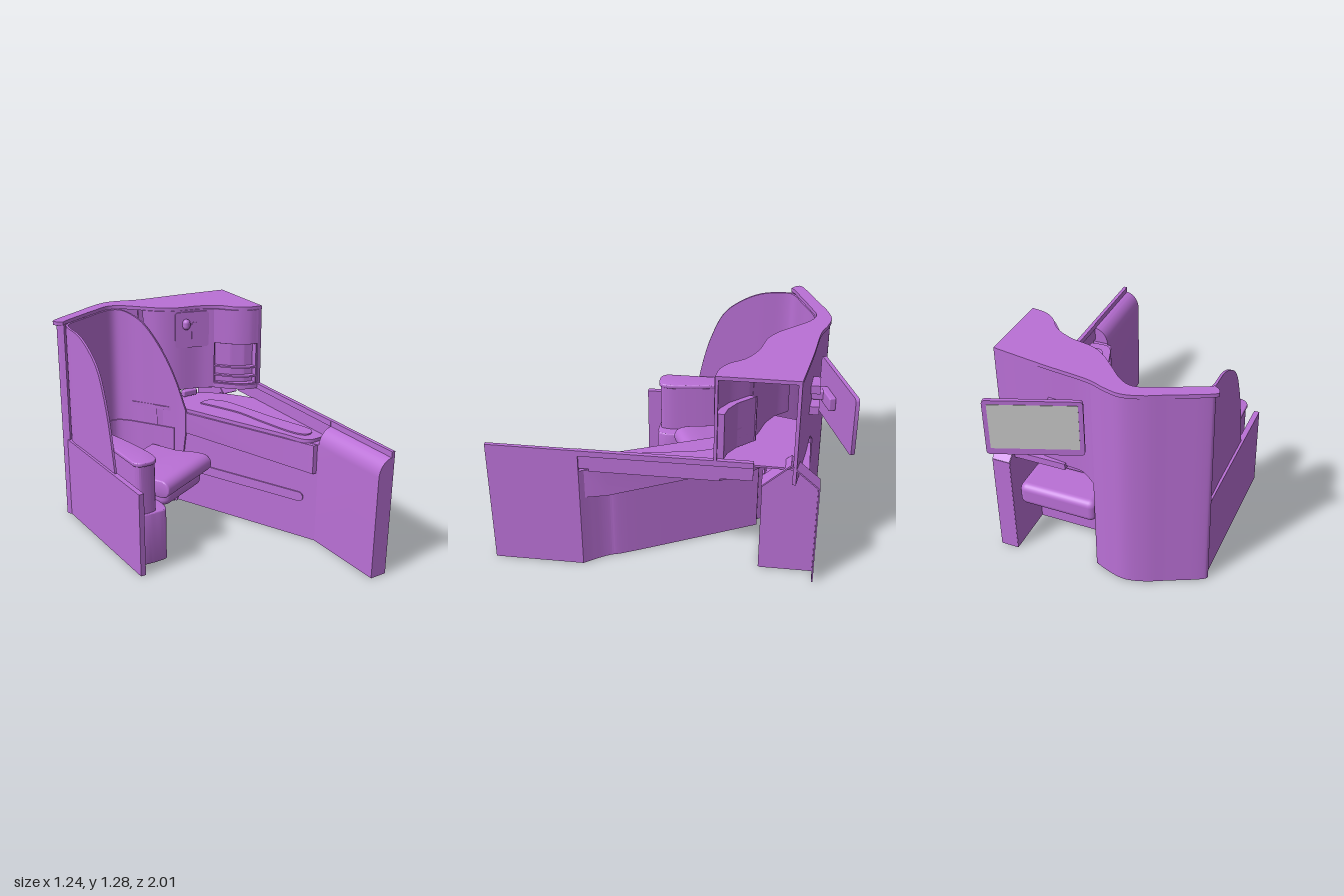
import * as THREE from 'three';
import { toCreasedNormals } from 'three/addons/utils/BufferGeometryUtils.js';
import { RoundedBoxGeometry } from 'three/addons/geometries/RoundedBoxGeometry.js';

const purple = new THREE.MeshStandardMaterial({ color: 0xba70d6, side: THREE.DoubleSide });
const grey = new THREE.MeshStandardMaterial({ color: 0xcccccc, side: THREE.DoubleSide });
const v2 = ([x, z]) => new THREE.Vector2(x, -z);

export function createModel() {
  const model = new THREE.Group();

  function add(name, geometry, parent = model, material = purple) {
    const mesh = new THREE.Mesh(geometry, material);
    mesh.name = name;
    parent.add(mesh);
    return mesh;
  }

  // Box given by its x, y and z ranges
  function box(name, [x0, x1], [y0, y1], [z0, z1], r = 0, parent = model) {
    const s = [x1 - x0, y1 - y0, z1 - z0];
    const g = r ? new RoundedBoxGeometry(...s, 3, r) : new THREE.BoxGeometry(...s);
    g.translate((x0 + x1) / 2, (y0 + y1) / 2, (z0 + z1) / 2);
    return add(name, g, parent);
  }

  // Thin upright plate with rounded corners, centred on its origin
  function plate(name, w, h, d, r, parent = model, material = purple) {
    const s = new THREE.Shape();
    [[1, 1, 0], [-1, 1, 1], [-1, -1, 2], [1, -1, 3]].forEach(([sx, sy, q]) =>
      s.absarc(sx * (w / 2 - r), sy * (h / 2 - r), r, (q * Math.PI) / 2, ((q + 1) * Math.PI) / 2));
    const g = new THREE.ExtrudeGeometry(s, { depth: d, bevelEnabled: false, curveSegments: 6 });
    return add(name, toCreasedNormals(g.translate(0, 0, -d / 2), 0.6), parent, material);
  }

  // Upright wall along plan points [x, z, bottom, top]; tension 0 keeps it straight between points
  function wall(name, pts, thick, tension = 0.5, steps = 8) {
    const curve = (k) => new THREE.CatmullRomCurve3(
      pts.map((p) => new THREE.Vector3(p[0], p[k], p[1])), false, 'catmullrom', tension);
    const low = curve(2), high = curve(3);
    const n = (pts.length - 1) * steps;
    const pos = [], idx = [];
    for (let i = 0; i <= n; i++) {
      const a = low.getPoint(i / n), b = high.getPoint(i / n);
      const t = low.getPoint(Math.min(1, (i + 0.5) / n)).sub(low.getPoint(Math.max(0, (i - 0.5) / n)));
      const l = Math.hypot(t.x, t.z) || 1;
      const ox = (-t.z / l) * thick, oz = (t.x / l) * thick;
      const y0 = Math.max(0.01, a.y);
      pos.push(a.x, y0, a.z, b.x, b.y, b.z, b.x + ox, b.y, b.z + oz, a.x + ox, y0, a.z + oz);
    }
    for (let i = 0; i < n; i++) {
      for (let j = 0; j < 4; j++) {
        const a = i * 4 + j, b = i * 4 + ((j + 1) % 4);
        idx.push(a, a + 4, b, b, a + 4, b + 4);
      }
    }
    const e = n * 4;
    idx.push(0, 1, 2, 0, 2, 3, e, e + 2, e + 1, e, e + 3, e + 2);
    const g = new THREE.BufferGeometry();
    g.setAttribute('position', new THREE.Float32BufferAttribute(pos, 3));
    g.setIndex(idx);
    return add(name, toCreasedNormals(g, 0.6), model);
  }

  // Upright prism over a plan shape; each list of [x, z] points is one smooth run
  function slab(name, runs, y0, y1, smooth = true, bevel = 0) {
    const shape = new THREE.Shape();
    runs.forEach((run, i) => {
      const p = run.map(v2);
      if (i) shape.lineTo(p[0].x, p[0].y);
      else shape.moveTo(p[0].x, p[0].y);
      if (smooth && p.length > 2) shape.splineThru(p.slice(1));
      else p.slice(1).forEach((q) => shape.lineTo(q.x, q.y));
    });
    const g = new THREE.ExtrudeGeometry(shape, {
      depth: y1 - y0 - 2 * bevel, curveSegments: 32, bevelEnabled: bevel > 0,
      bevelSize: bevel, bevelThickness: bevel, bevelOffset: -bevel, bevelSegments: 3,
    });
    g.rotateX(-Math.PI / 2).translate(0, y0 + bevel, 0);
    return add(name, toCreasedNormals(g, 0.6), model);
  }

  // Outer shell: full height behind the seat, raised above the rear footwell
  wall('shellBack', [[-0.575, -0.61], [-0.6, -0.655], [-0.56, -0.69], [-0.4, -0.765], [-0.28, -0.82],
    [-0.17, -0.845], [-0.07, -0.825], [0.02, -0.79]].map((p) => [...p, 0.01, 1.27]), 0.02);
  wall('shellRearUpper', [[0.02, -0.79, 0.6, 1.27], [0.1, -0.775, 0.66, 1.27],
    [0.3, -0.755, 0.66, 1.27], [0.615, -0.71, 0.66, 1.27]], 0.02, 0.3);
  slab('shellCap', [
    [[-0.58, -0.61], [-0.615, -0.64], [-0.6, -0.68], [-0.4, -0.77], [-0.28, -0.825], [-0.17, -0.852],
      [-0.07, -0.832], [0.04, -0.795], [0.3, -0.76], [0.615, -0.71]],
    [[0.615, -0.265], [0.53, -0.28], [0.46, -0.325], [0.39, -0.41], [0.28, -0.47], [0.14, -0.505],
      [0.05, -0.56], [-0.04, -0.65], [-0.12, -0.73], [-0.2, -0.765], [-0.3, -0.735], [-0.55, -0.63]],
  ], 1.268, 1.29);

  // Seat surround: side wings fall away towards the front
  wall('seatSurround', [[-0.57, -0.03, 0.5, 0.53], [-0.57, -0.08, 0.5, 0.78], [-0.57, -0.13, 0.5, 0.95],
    [-0.57, -0.2, 0.5, 1.1], [-0.57, -0.3, 0.5, 1.19], [-0.57, -0.43, 0.4, 1.25], [-0.57, -0.58, 0.01, 1.265],
    [-0.53, -0.645, 0.01, 1.265], [-0.4, -0.7, 0.01, 1.265], [-0.27, -0.757, 0.01, 1.265],
    [-0.17, -0.77, 0.01, 1.265], [-0.1, -0.715, 0.01, 1.255], [-0.03, -0.615, 0.01, 1.19],
    [0.04, -0.51, 0.01, 1.03], [0.09, -0.43, 0.01, 0.85], [0.125, -0.37, 0.5, 0.66]], 0.014);
  wall('lowerBackPad', [[-0.556, -0.58], [-0.52, -0.63], [-0.395, -0.685], [-0.265, -0.742],
    [-0.18, -0.752], [-0.115, -0.703], [-0.045, -0.603], [0.025, -0.498], [0.07, -0.43]]
    .map((p) => [...p, 0.01, 0.53]), 0.008);
  box('sidePanel', [-0.585, -0.553], [0.01, 0.53], [-0.63, 0.28]);

  // Cabinet beside the head, with a shallow curved niche
  const face = [[-0.02, -0.64], [0.05, -0.565], [0.14, -0.515], [0.28, -0.475], [0.37, -0.43]];
  const nicheFace = [[0.37, -0.43], [0.46, -0.33], [0.53, -0.285], [0.59, -0.272]];
  const nicheBack = nicheFace.map(([x, z]) => [x, z - 0.045]);
  wall('cabinetFace', face.map((p) => [...p, 0.75, 1.27]), 0.012);
  wall('cabinetAboveNiche', nicheFace.map((p) => [...p, 1.05, 1.27]), 0.012);
  wall('cabinetBelowNiche', nicheFace.map((p) => [...p, 0.75, 0.78]), 0.012);
  box('cabinetEdge', [0.59, 0.615], [0.75, 1.27], [-0.282, -0.265]);
  wall('nicheLining', [nicheFace[0], ...nicheBack, nicheFace[3]].map((p) => [...p, 0.78, 1.05]), 0.008, 0);
  const nichePlan = [...nicheFace, ...nicheBack.reverse()];
  for (const y of [0.775, 0.825, 0.885, 1.045]) slab('nicheShelf', [nichePlan], y, y + 0.01, false);
  slab('cabinetFloor', [[...face.slice(1), ...nicheFace.slice(1), [0.6, -0.7], [0.1, -0.76]]], 0.745, 0.757, false);
  box('socketStrip', [0.2, 0.3], [0.68, 0.72], [-0.56, -0.52], 0.008);

  // Control panel with lamp and handset
  const panel = new THREE.Group();
  panel.name = 'controlPanel';
  panel.position.set(0.232, 1.145, -0.474);
  panel.rotation.y = -0.3;
  model.add(panel);
  plate('controlPlate', 0.215, 0.23, 0.016, 0.02, panel);
  plate('handsetCradle', 0.04, 0.12, 0.012, 0.018, panel).position.set(0.015, -0.01, 0.01);
  const lamp = add('readingLamp', new THREE.CapsuleGeometry(0.024, 0.02, 6, 16), panel);
  lamp.position.set(-0.04, 0.04, 0.02);

  // Seat, turned towards the aisle
  const seat = new THREE.Group();
  seat.name = 'seat';
  seat.position.set(-0.15, 0, -0.23);
  seat.rotation.y = 0.437;
  model.add(seat);
  const side = new THREE.Shape();
  side.moveTo(-0.215, 0.325);
  side.lineTo(0.16, 0.325);
  side.bezierCurveTo(0.235, 0.325, 0.235, 0.425, 0.16, 0.425);
  side.bezierCurveTo(0.08, 0.425, 0.03, 0.405, -0.05, 0.4);
  side.lineTo(-0.215, 0.4);
  const cushion = new THREE.ExtrudeGeometry(side, {
    depth: 0.45, curveSegments: 16, bevelSize: 0.006, bevelThickness: 0.012, bevelSegments: 3,
  });
  cushion.translate(0, 0, -0.225).rotateY(-Math.PI / 2);
  add('seatCushion', toCreasedNormals(cushion, 0.7), seat);
  const pan = add('seatPan', new RoundedBoxGeometry(0.4, 0.1, 0.36, 5, 0.045), seat);
  pan.position.y = 0.29;
  box('seatBracket', [0.19, 0.285], [0.26, 0.305], [-0.05, 0.09], 0.01, seat);

  // Armrest pod on the right
  slab('podBase', [[[-0.545, 0.15], [-0.545, -0.33], [-0.52, -0.365], [-0.485, -0.34], [-0.43, -0.2],
    [-0.36, -0.02], [-0.338, 0.1], [-0.35, 0.17], [-0.38, 0.19], [-0.5, 0.185], [-0.545, 0.15]]], 0.01, 0.34, true, 0.008);
  const podTop = (g) => [[[-0.535 - g, 0.15], [-0.535 - g, -0.33], [-0.515, -0.355 - g], [-0.485 + g, -0.33],
    [-0.44 + g, -0.15], [-0.41 + g, 0.05], [-0.41 + g, 0.14], [-0.43, 0.175 + g], [-0.51, 0.175 + g], [-0.535 - g, 0.15]]];
  slab('podColumn', podTop(0), 0.33, 0.645);
  slab('podCap', podTop(0.01), 0.64, 0.666, true, 0.007);

  // Aisle wall with rounded shoulder, and the slanted partition behind it
  const profile = new THREE.Shape();
  profile.moveTo(0.51, 0.01);
  profile.lineTo(0.615, 0.01);
  profile.lineTo(0.615, 0.78);
  profile.lineTo(0.593, 0.78);
  profile.lineTo(0.593, 0.745);
  profile.bezierCurveTo(0.55, 0.74, 0.51, 0.7, 0.51, 0.64);
  const aisle = new THREE.ExtrudeGeometry(profile, { depth: 0.52, bevelEnabled: false, curveSegments: 16 });
  add('aisleWall', toCreasedNormals(aisle.translate(0, 0, 0.48), 0.6));
  box('topRail', [0.59, 0.615], [0.745, 0.78], [-0.48, 0.48]);
  box('railApron', [0.596, 0.604], [0.66, 0.75], [-0.48, 0.48]);
  slab('partition', [[[0.07, -0.49], [0.51, 0.48]],
    [[0.615, 0.48], [0.57, 0.42], [0.52, 0.34], [0.46, 0.2], [0.11, -0.49]]], 0.01, 0.645);
  const trim = plate('partitionTrim', 0.88, 0.06, 0.012, 0.028);
  trim.position.set(0.29, 0.28, 0);
  trim.rotation.y = -Math.atan2(0.97, 0.44);

  // Side console: top, raised inlay and a pod whose underside slopes
  slab('consoleTop', [
    [[-0.1, -0.68], [-0.03, -0.585], [0.03, -0.485], [0.11, -0.41]],
    [[0.41, 0.28], [0.45, 0.39], [0.5, 0.43], [0.6, 0.425]],
    [[0.6, -0.3], [0.45, -0.5], [0.2, -0.66]],
  ], 0.642, 0.666);
  slab('consoleInlay', [[[0.25, -0.4], [0.32, -0.415], [0.4, -0.33], [0.45, -0.15], [0.5, 0.05], [0.57, 0.28],
    [0.56, 0.35], [0.5, 0.36], [0.45, 0.27], [0.4, 0.05], [0.36, -0.15], [0.25, -0.4]]], 0.66, 0.674);
  const pod = slab('consolePod', [[[0, -0.53], [0.08, -0.45], [0.48, 0.47], [0.6, 0.48], [0.57, 0.33], [0.21, -0.5]]],
    0.46, 0.643, false);
  const p = pod.geometry.attributes.position;
  for (let i = 0; i < p.count; i++) {
    if (p.getY(i) < 0.5) p.setY(i, 0.46 + (0.48 - p.getZ(i)) * 0.055);
  }
  pod.geometry = toCreasedNormals(pod.geometry, 0.5);

  // Rear footwell: inner walls, gabled side post and footrest
  box('footwellFront', [0.12, 0.51], [0.01, 0.65], [-0.535, -0.525]);
  wall('footwellSide', [[0.02, -0.785, 0.01, 0.65], [0.12, -0.53, 0.01, 0.65]], 0.008);
  const gable = new THREE.Shape([[0.53, 0.01], [0.84, 0.01], [0.84, 0.64], [0.68, 0.78], [0.53, 0.64]]
    .map(([x, y]) => new THREE.Vector2(x, y)));
  const post = new THREE.ExtrudeGeometry(gable, { depth: 0.008, bevelEnabled: false });
  add('postSide', post.rotateY(Math.PI / 2).translate(0.508, 0, 0));
  box('postBack', [0.51, 0.615], [0.01, 0.64], [-0.842, -0.834]);
  for (const [z, run] of [[-0.76, 0.16], [-0.605, -0.15]]) {
    const roof = box('postRoof', [0.51, 0.615], [-0.004, 0.004], [-0.106, 0.106]);
    roof.position.set(0, 0.71, z);
    roof.rotation.x = -Math.atan(0.14 / run);
  }
  box('footwellHeader', [0.2, 0.51], [0.64, 0.68], [-0.78, -0.74]);
  box('footrestCushion', [0.03, 0.5], [0.31, 0.45], [-0.79, -0.53], 0.04);

  // Screen for the seat behind
  const display = new THREE.Group();
  display.name = 'display';
  display.position.set(0.295, 0.993, -0.908);
  display.rotation.y = 0.352;
  model.add(display);
  plate('displayCase', 0.52, 0.344, 0.022, 0.02, display);
  plate('displayGlass', 0.47, 0.28, 0.004, 0.006, display, grey).position.set(0, 0.008, -0.011);
  box('displayMount', [-0.13, 0], [-0.04, 0.04], [0.01, 0.05], 0.008, display);
  box('mountArm', [0.16, 0.22], [0.97, 1.03], [-0.87, -0.76], 0.01);
  for (const y of [0.91, 1.04]) box('mountBracket', [0.17, 0.28], [y, y + 0.05], [-0.81, -0.74]);

  return model;
}
